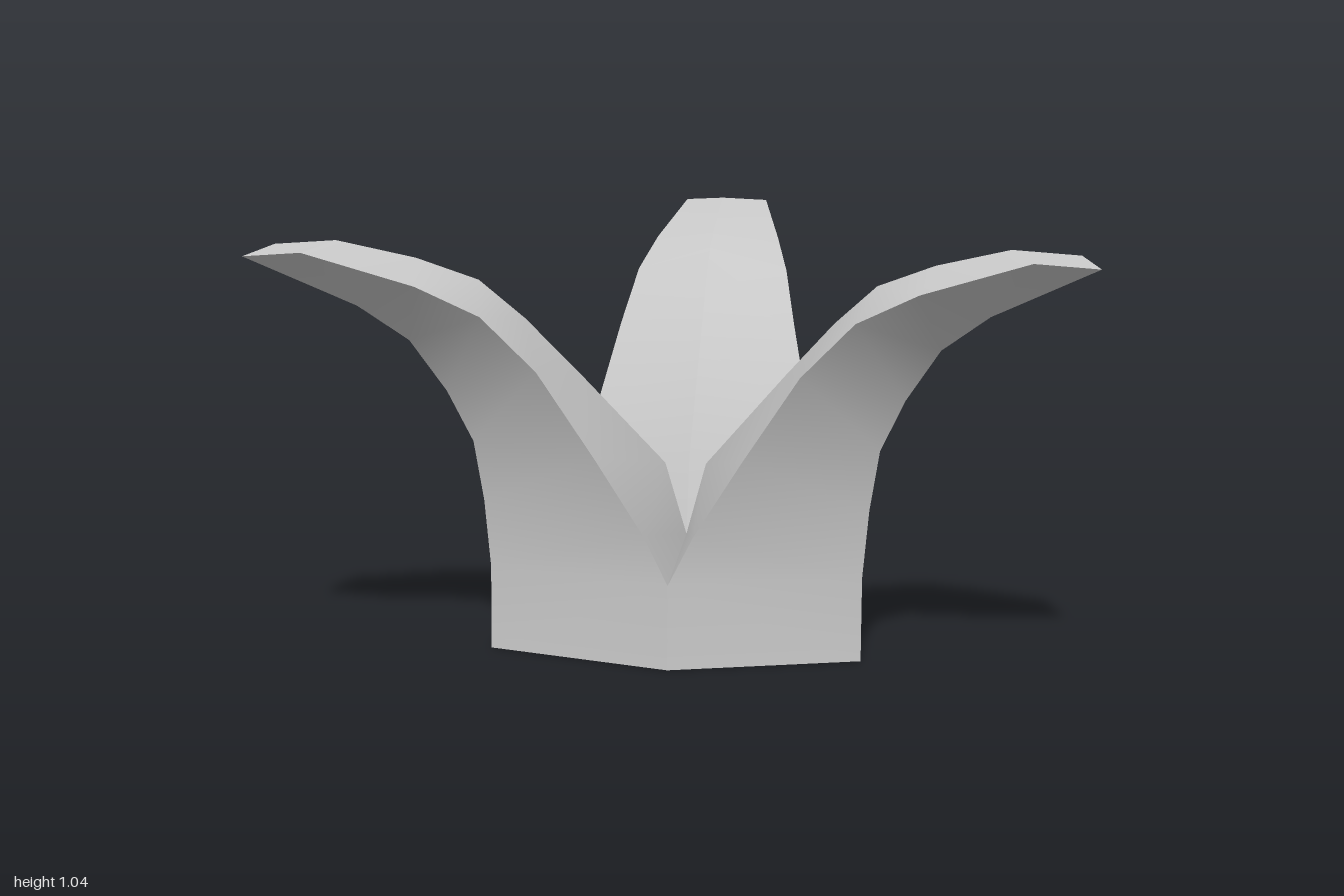
import * as THREE from 'three';
import { toCreasedNormals } from 'three/addons/utils/BufferGeometryUtils.js';

// Petal profile lines in the petal's own frame: x runs outward, z across.
const keel = [[0.533, 0], [0.533, 0.21], [0.55, 0.38], [0.577, 0.53], [0.645, 0.66],
  [0.74, 0.79], [0.87, 0.88], [1.15, 1.01]].map(([u, y]) => [u, y, 0]);
const rim = [[0.21, 0, 0.364], [0.21, 0.21, 0.364], [0.26, 0.33, 0.33], [0.37, 0.52, 0.285],
  [0.5, 0.73, 0.237], [0.63, 0.865, 0.205], [0.78, 0.94, 0.17], [1.04, 1.025, 0.115]];
const ridge = [[0, 0.25], [0.06, 0.44], [0.3, 0.69], [0.44, 0.83], [0.56, 0.93],
  [0.72, 0.99], [0.92, 1.04]].map(([u, y]) => [u, y, 0]);

function petalGeometry() {
  const pos = [];
  // Every face is added twice: as is and mirrored in z with reversed winding.
  const tri = (a, b, c) => {
    pos.push(...a, ...b, ...c);
    for (const [x, y, z] of [a, c, b]) pos.push(x, y, -z);
  };
  const quad = (a, b, c, d) => { tri(a, b, c); tri(a, c, d); };

  // Outer flank from keel to rim
  for (let i = 0; i < keel.length - 1; i++) quad(keel[i], keel[i + 1], rim[i + 1], rim[i]);
  // Inner flank from ridge to rim
  for (let i = 0; i < ridge.length - 1; i++) quad(ridge[i], rim[i + 1], rim[i + 2], ridge[i + 1]);
  // Pointed tip and underside of the base
  tri(ridge.at(-1), rim.at(-1), keel.at(-1));
  tri([0, 0, 0], keel[0], rim[0]);

  const geometry = new THREE.BufferGeometry();
  geometry.setAttribute('position', new THREE.Float32BufferAttribute(pos, 3));
  return toCreasedNormals(geometry, 0.5);
}

export function createModel() {
  const group = new THREE.Group();
  group.name = 'threePetalFlower';
  const geometry = petalGeometry();
  const material = new THREE.MeshStandardMaterial({ color: 0xcccccc });

  // Three petals meet along the flower's axis
  ['rightPetal', 'frontPetal', 'backPetal'].forEach((name, i) => {
    const petal = new THREE.Mesh(geometry, material);
    petal.name = name;
    petal.rotation.y = Math.PI + (i * Math.PI * 2) / 3;
    petal.position.x = 0.26;
    group.add(petal);
  });
  return group;
}
